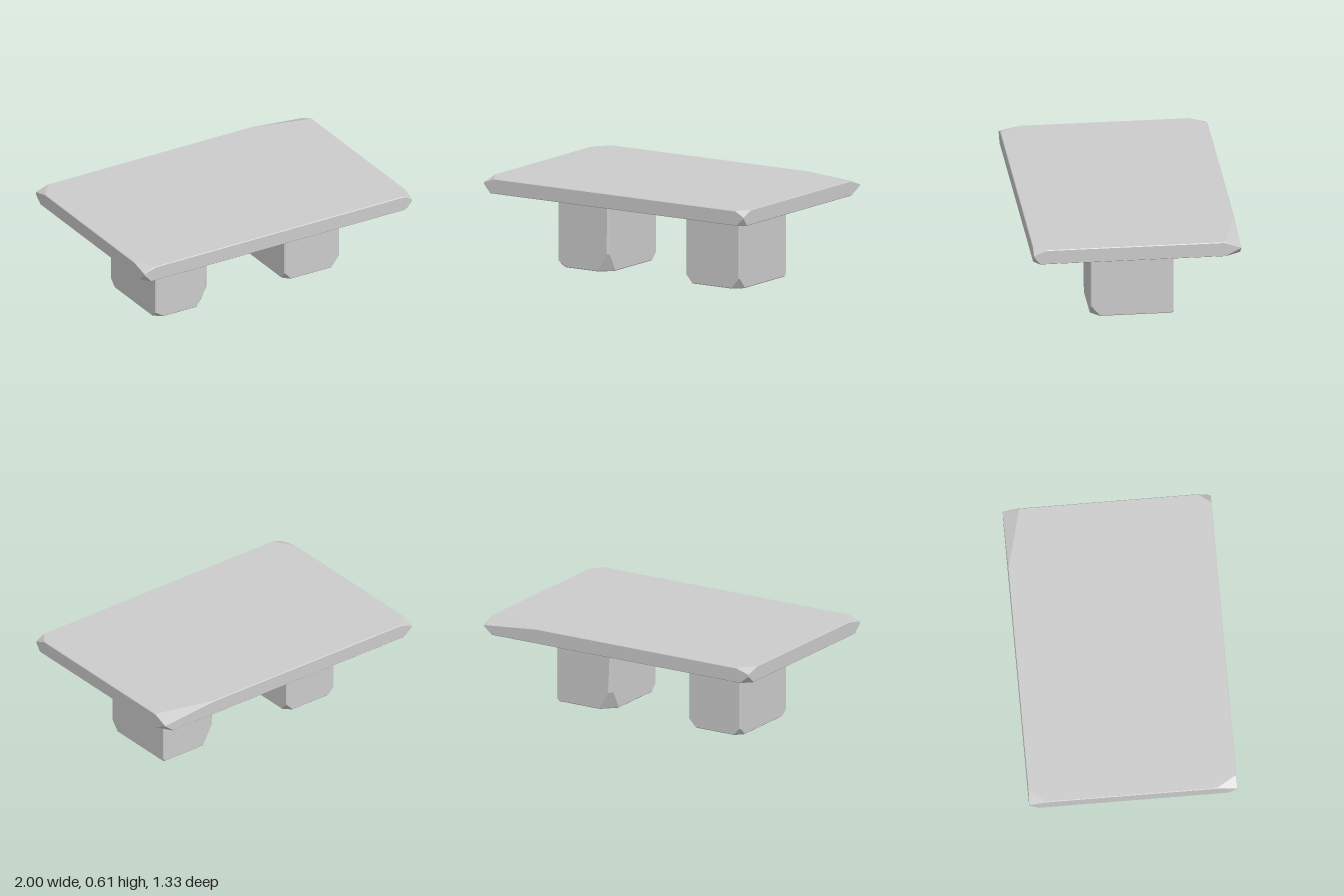
import * as THREE from 'three';
import { ConvexGeometry } from 'three/addons/geometries/ConvexGeometry.js';

const material = new THREE.MeshStandardMaterial({ color: 0xcccccc, flatShading: true });

// Box with finely bevelled edges and every corner chipped off.
// cuts: key is the signs of x, y, z; value is [dx, dy, dz, edge inset at the end of the vertical cut]
function chippedBlock(name, min, max, bevel, cuts) {
  const points = [];
  for (const sx of [-1, 1]) for (const sy of [-1, 1]) for (const sz of [-1, 1]) {
    const sign = [sx, sy, sz];
    const key = sign.map((s) => (s > 0 ? '+' : '-')).join('');
    const cut = cuts[key] || [bevel * 2, bevel * 2, bevel * 2];
    const corner = sign.map((s, i) => (s > 0 ? max[i] : min[i]));
    // A pair of points on each of the three edges meeting here
    for (let axis = 0; axis < 3; axis++) {
      for (const side of [(axis + 1) % 3, (axis + 2) % 3]) {
        const p = [...corner];
        p[axis] -= sign[axis] * cut[axis];
        p[side] -= sign[side] * (axis === 1 && cut[3] ? cut[3] : bevel);
        points.push(new THREE.Vector3(...p));
      }
    }
  }
  const mesh = new THREE.Mesh(new ConvexGeometry(points), material);
  mesh.name = name;
  return mesh;
}

export function createModel() {
  const group = new THREE.Group();
  group.name = 'stoneBench';

  // Flat slab with uneven chipped corners
  group.add(chippedBlock('slab', [-1, 0.508, -0.665], [1, 0.605, 0.665], 0.004, {
    '-+-': [0.09, 0.03, 0.11], '++-': [0.4, 0.04, 0.105],
    '-++': [0.08, 0.03, 0.13], '+++': [0.06, 0.035, 0.08],
    '---': [0.06, 0.05, 0.06], '+--': [0.06, 0.05, 0.1],
    '--+': [0.05, 0.055, 0.06], '+-+': [0.05, 0.05, 0.04],
  }));

  // Two block supports
  group.add(chippedBlock('rightLeg', [-0.685, 0, -0.265], [-0.297, 0.515, 0.285], 0.006, {
    '---': [0.05, 0.05, 0.05], '+--': [0.05, 0.05, 0.05],
    '--+': [0.06, 0.04, 0.05], '+-+': [0.08, 0.12, 0.08, 0.015],
    '+++': [0.012, 0.012, 0.02],
  }));
  group.add(chippedBlock('leftLeg', [0.29, 0, -0.265], [0.7, 0.515, 0.267], 0.006, {
    '---': [0.09, 0.12, 0.09, 0.025], '+--': [0.015, 0.015, 0.015],
    '--+': [0.045, 0.05, 0.05], '+-+': [0.06, 0.07, 0.06],
  }));
  return group;
}
